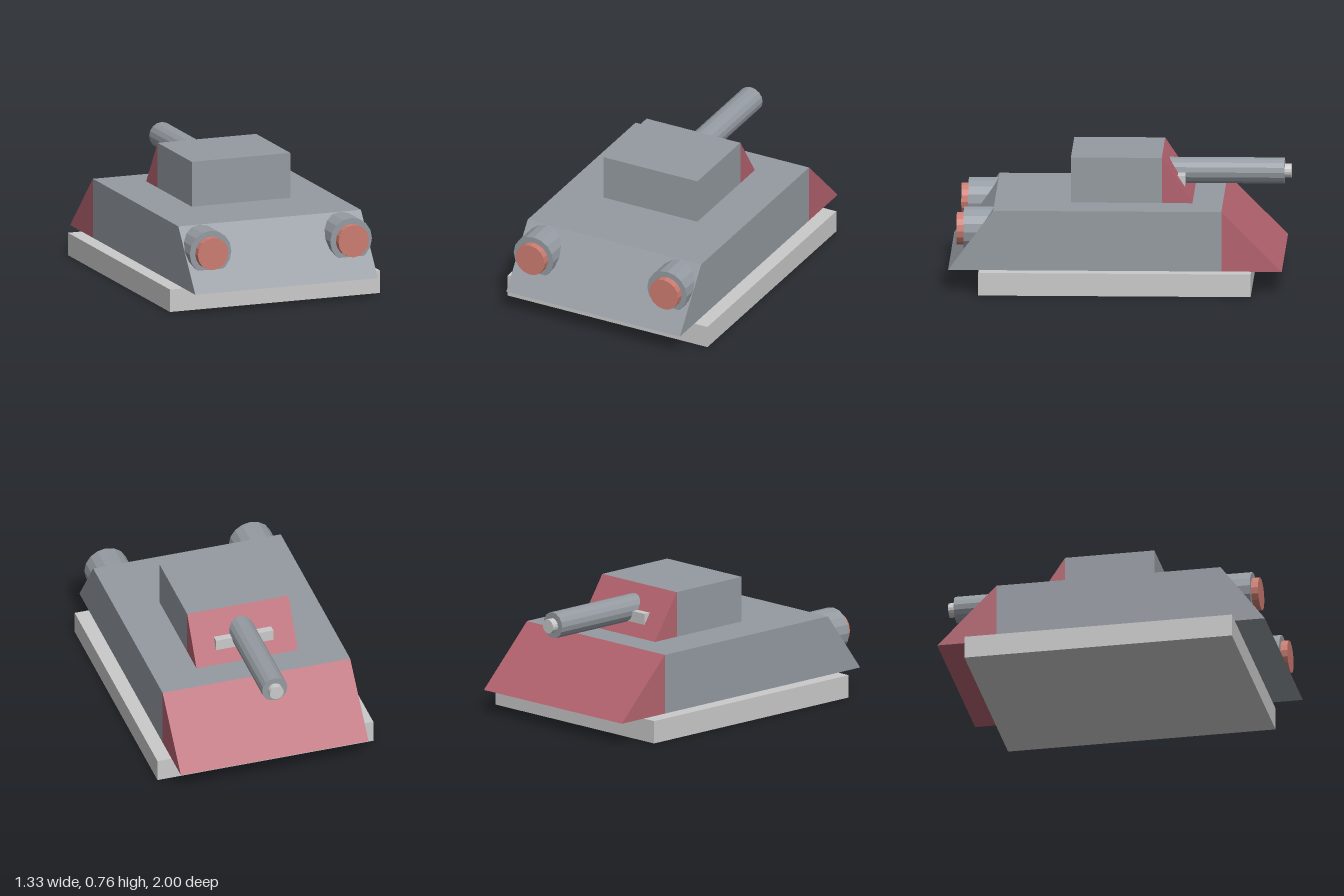
import * as THREE from 'three';

const paint = (name, color) => Object.assign(new THREE.MeshStandardMaterial({ color, flatShading: true }), { name });

export function createModel() {
  const model = new THREE.Group();
  model.name = 'tank';
  const bodyGrey = paint('body grey', 0x959ba2);
  const lightGrey = paint('light grey', 0xcacaca);
  const plateRed = paint('plate red', 0xb4636f);
  const lampRed = paint('lamp red', 0xcc7c71);

  const add = (name, geometry, material) => {
    const mesh = new THREE.Mesh(geometry, material);
    mesh.name = name;
    model.add(mesh);
    return mesh;
  };

  // Box given by its limits on each axis
  const block = (name, halfX, y0, y1, z0, z1, material) =>
    add(name, new THREE.BoxGeometry(halfX * 2, y1 - y0, z1 - z0), material)
      .position.set(0, (y0 + y1) / 2, (z0 + z1) / 2);

  // Side profile of [z, y] points, extruded across the width
  const prism = (name, halfX, profile, material) => {
    const shape = new THREE.Shape(profile.map(([z, y]) => new THREE.Vector2(-z, y)));
    const geometry = new THREE.ExtrudeGeometry(shape, { depth: halfX * 2, bevelEnabled: false });
    geometry.translate(0, 0, -halfX).rotateY(Math.PI / 2);
    return add(name, geometry, material);
  };

  // Cylinder along z
  const rod = (name, radius, x, y, z0, z1, material) => {
    const geometry = new THREE.CylinderGeometry(radius, radius, z1 - z0, 16).rotateX(Math.PI / 2);
    add(name, geometry, material).position.set(x, y, (z0 + z1) / 2);
  };

  // Base and hull
  block('base', 0.665, 0, 0.135, -0.78, 0.82, lightGrey);
  prism('hull', 0.578, [[1, 0.135], [0.735, 0.49], [-0.605, 0.49], [-0.605, 0.135]], bodyGrey);
  prism('hullWedge', 0.578, [[-0.605, 0.135], [-0.605, 0.49], [-0.96, 0.135]], plateRed);

  // Turret with its sloping plate
  block('turret', 0.312, 0.49, 0.76, -0.247, 0.287, bodyGrey);
  prism('turretWedge', 0.312, [[-0.247, 0.49], [-0.247, 0.76], [-0.427, 0.49]], plateRed);

  // Gun and the bar behind it
  block('gunBar', 0.177, 0.56, 0.627, -0.38, -0.27, lightGrey);
  rod('gunBarrel', 0.078, 0, 0.628, -0.96, -0.25, bodyGrey);
  rod('gunTip', 0.043, 0, 0.628, -1, -0.95, lightGrey);

  // Lamps
  for (const [side, sign] of [['left', 1], ['right', -1]]) {
    rod(side + 'LampHousing', 0.132, sign * 0.445, 0.358, 0.65, 0.91, bodyGrey);
    rod(side + 'Lamp', 0.097, sign * 0.445, 0.358, 0.9, 0.952, lampRed);
  }
  return model;
}
